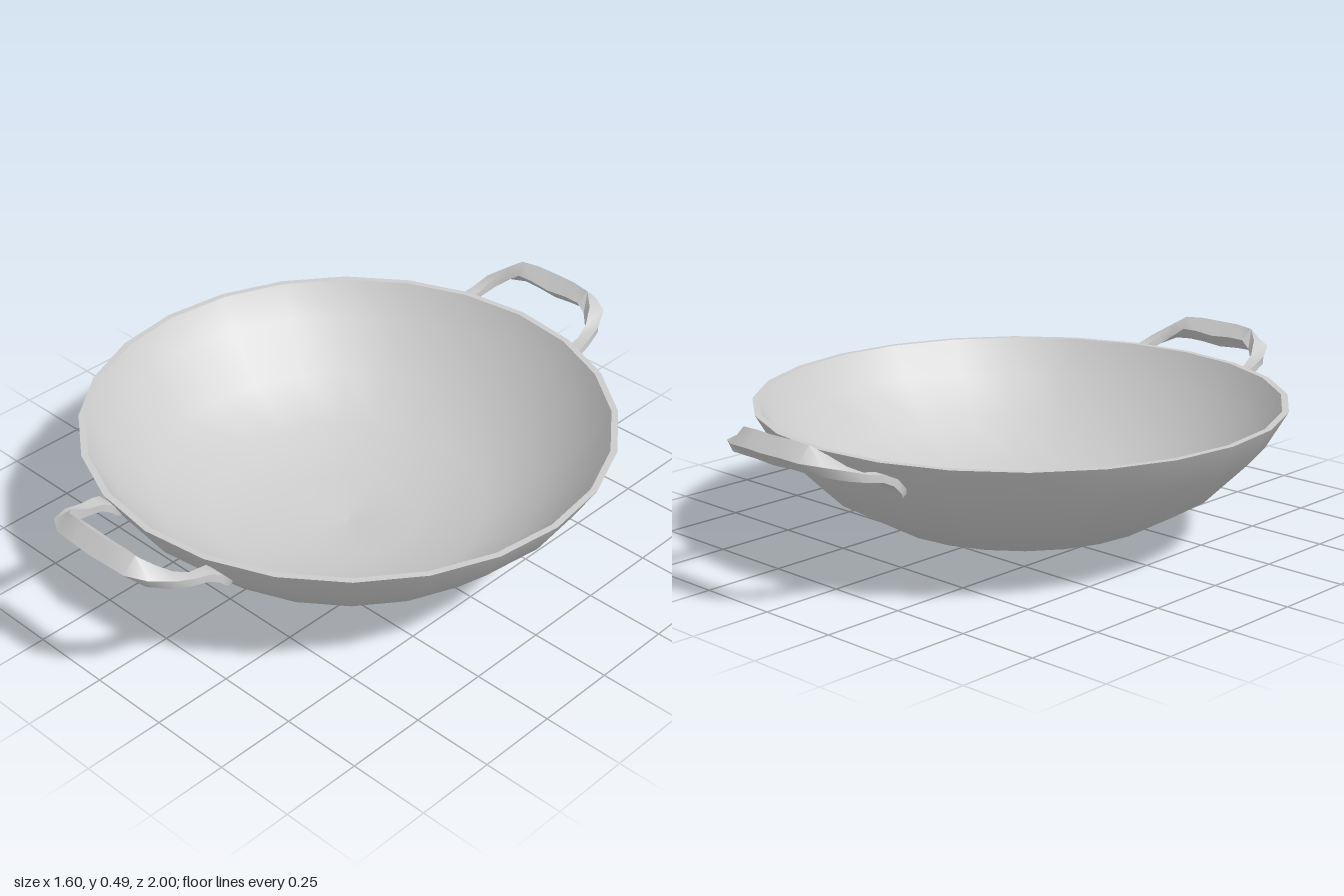
import * as THREE from 'three';
import { toCreasedNormals } from 'three/addons/utils/BufferGeometryUtils.js';

const material = new THREE.MeshStandardMaterial({ color: 0xcccccc });

function part(name, geometry) {
  const mesh = new THREE.Mesh(geometry, material);
  mesh.name = name;
  return mesh;
}

const lathe = (profile) =>
  new THREE.LatheGeometry(profile.map(([r, y]) => new THREE.Vector2(r, y)), 24);

// Shallow round bowl: smooth outside and inside, joined by a flat rim
function createBowl() {
  const outer = [[0, 0], [0.21, 0.02], [0.43, 0.072], [0.6, 0.17], [0.735, 0.305], [0.8, 0.415]];
  const inner = [[0.78, 0.415], [0.718, 0.315], [0.587, 0.186], [0.422, 0.091], [0.207, 0.04], [0, 0.02]];
  const bowl = new THREE.Group();
  bowl.name = 'bowl';
  bowl.add(
    part('bowlOutside', lathe(outer)),
    part('bowlRim', lathe([outer[outer.length - 1], inner[0]])),
    part('bowlInside', lathe(inner))
  );
  return bowl;
}

// Half of the handle, grip centre to foot:
// centre, direction of the strip's width, half width, half thickness
const stations = [
  [[0, 0.447, 0.958], [0, -1, 1], 0.03, 0.03],
  [[0.07, 0.45, 0.958], [0, -1, 1], 0.03, 0.027],
  [[0.13, 0.448, 0.955], [0.2, -0.8, 0.8], 0.03, 0.024],
  [[0.175, 0.433, 0.935], [0.7, -0.5, 0.6], 0.026, 0.018],
  [[0.21, 0.408, 0.885], [1, -0.2, 0.2], 0.02, 0.014],
  [[0.222, 0.388, 0.83], [1, 0, 0], 0.018, 0.011],
  [[0.225, 0.38, 0.785], [1, 0, 0], 0.022, 0.011],
  [[0.225, 0.365, 0.755], [1, 0, 0], 0.034, 0.011],
  [[0.225, 0.335, 0.728], [1, 0, 0], 0.035, 0.01],
  [[0.225, 0.318, 0.718], [1, 0, 0], 0.025, 0.008]
];

function createHandleGeometry() {
  const centres = stations.map(([c]) => new THREE.Vector3(...c));
  const half = stations.map(([, dir, w, h], i) => {
    const next = centres[Math.min(i + 1, centres.length - 1)];
    const tangent = i === 0
      ? new THREE.Vector3(1, 0, 0)
      : next.clone().sub(centres[i - 1]).normalize();
    const side = new THREE.Vector3(...dir).projectOnPlane(tangent).normalize();
    const normal = side.clone().cross(tangent);
    return [[-1, 1], [1, 1], [1, -1], [-1, -1]].map(([a, b]) =>
      centres[i].clone().addScaledVector(side, a * w).addScaledVector(normal, b * h));
  });

  // Mirror the half to get rings running from the right foot to the left foot
  const mirrored = half.slice(1).reverse().map((ring) =>
    ring.map((p) => new THREE.Vector3(-p.x, p.y, p.z)));
  const rings = [...mirrored, ...half];

  const positions = rings.flat().flatMap((p) => p.toArray());
  const index = [];
  for (let i = 0; i < rings.length - 1; i++) {
    for (let k = 0; k < 4; k++) {
      const a = i * 4 + k;
      const b = i * 4 + ((k + 1) % 4);
      index.push(a, b, b + 4, a, b + 4, a + 4);
    }
  }
  // Close both ends
  const e = (rings.length - 1) * 4;
  index.push(0, 2, 1, 0, 3, 2, e, e + 1, e + 2, e, e + 2, e + 3);

  const geometry = new THREE.BufferGeometry();
  geometry.setAttribute('position', new THREE.Float32BufferAttribute(positions, 3));
  geometry.setIndex(index);
  return toCreasedNormals(geometry, 0.75);
}

export function createModel() {
  const model = new THREE.Group();
  model.name = 'wok';
  model.add(createBowl());

  // Two loop handles, front and back
  const handleGeometry = createHandleGeometry();
  ['frontHandle', 'backHandle'].forEach((name, i) => {
    const handle = part(name, handleGeometry);
    handle.rotation.y = i * Math.PI;
    model.add(handle);
  });
  return model;
}
